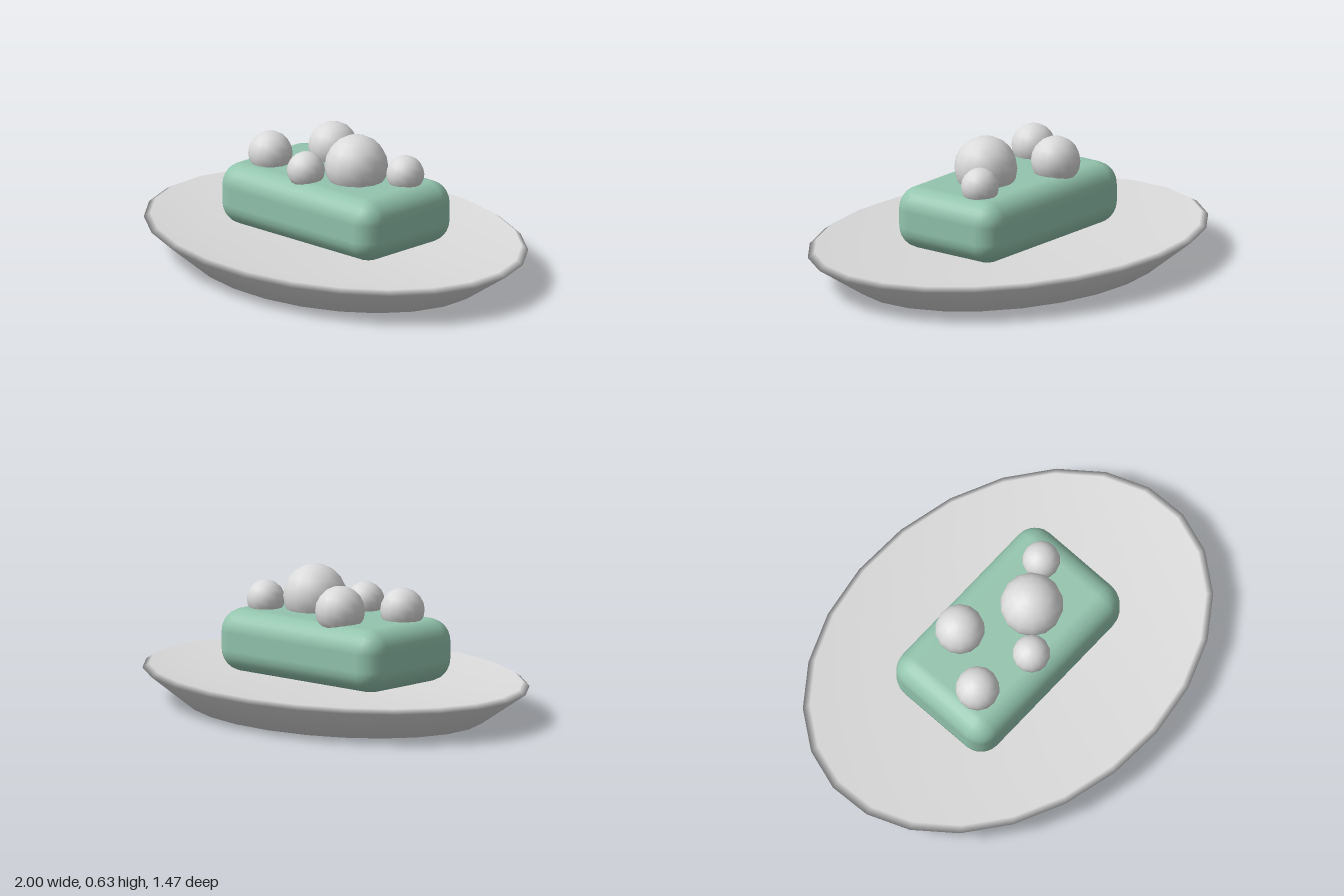
import * as THREE from 'three';
import { RoundedBoxGeometry } from 'three/addons/geometries/RoundedBoxGeometry.js';

export function createModel() {
  const model = new THREE.Group();
  model.name = 'soapDish';

  const porcelain = new THREE.MeshStandardMaterial({ name: 'pale grey', color: 0xdadada });
  const green = new THREE.MeshStandardMaterial({ name: 'soft green', color: 0x93c4ae });

  const add = (name, geometry, material, x = 0, y = 0, z = 0) => {
    const mesh = new THREE.Mesh(geometry, material);
    mesh.name = name;
    mesh.position.set(x, y, z);
    model.add(mesh);
    return mesh;
  };

  // Shallow oval dish: flat foot, flared wall, bevelled rim, hollow inside
  const profile = [
    [0, 0], [0.77, 0], [1, 0.145], [0.965, 0.165], [0.7, 0.115], [0, 0.1],
  ].map(([r, y]) => new THREE.Vector2(r, y));
  const dish = new THREE.LatheGeometry(profile, 24);
  dish.scale(1, 1, 0.737);
  add('dish', dish, porcelain);

  // Rounded bar of soap, turned slightly on the dish
  const soap = add('soapBar', new RoundedBoxGeometry(0.956, 0.28, 0.568, 3, 0.1), green, 0, 0.29, 0);
  soap.rotation.y = 0.14;

  // Bubbles resting on the bar: x, y, z, radius
  const bubbles = [
    [-0.29, 0.47, 0.14, 0.098],
    [-0.175, 0.48, -0.12, 0.11],
    [0.14, 0.49, -0.005, 0.14],
    [0.31, 0.467, -0.145, 0.084],
    [-0.003, 0.467, 0.165, 0.084],
  ];
  bubbles.forEach(([x, y, z, r], i) =>
    add(`bubble${i + 1}`, new THREE.SphereGeometry(r, 14, 10), porcelain, x, y, z));

  return model;
}
